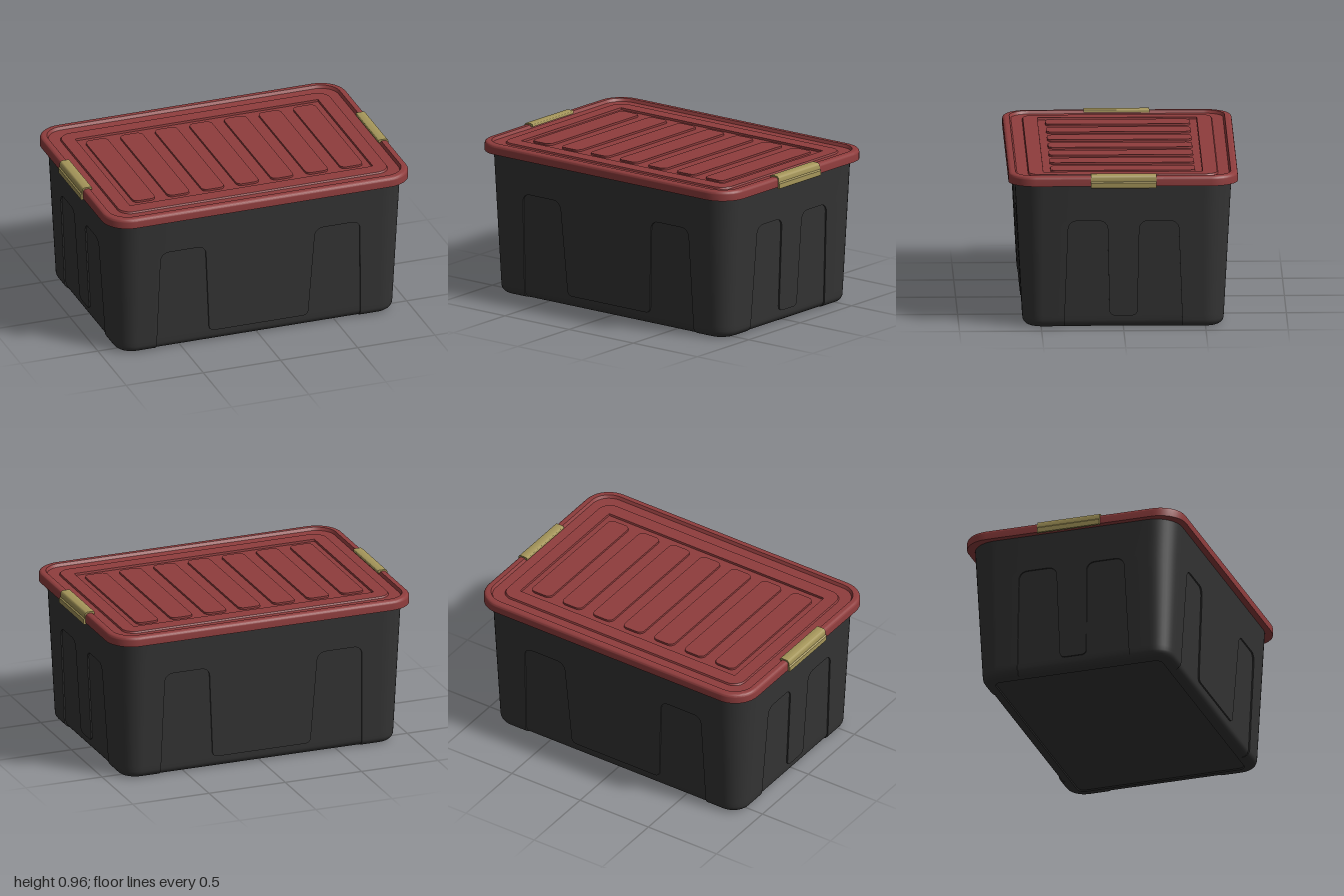
import * as THREE from 'three';
import { toCreasedNormals } from 'three/addons/utils/BufferGeometryUtils.js';

// Skin a list of closed rings (same point count), closing both ends to their centres.
function loft(rings) {
  const mid = (ring) => ring.map(() => [0, ring[0][1], 0]);
  const rows = [mid(rings[0]), ...rings, mid(rings[rings.length - 1])];
  const pos = [];
  const same = (p, q) => Math.hypot(p[0] - q[0], p[1] - q[1], p[2] - q[2]) < 1e-6;
  const tri = (a, b, c) => {
    if (!same(a, b) && !same(b, c) && !same(a, c)) pos.push(...a, ...b, ...c);
  };
  for (let j = 0; j < rows.length - 1; j++) {
    const low = rows[j], up = rows[j + 1], n = low.length;
    for (let i = 0; i < n; i++) {
      const k = (i + 1) % n;
      tri(low[i], up[i], low[k]);
      tri(low[k], up[i], up[k]);
    }
  }
  const geo = new THREE.BufferGeometry();
  geo.setAttribute('position', new THREE.Float32BufferAttribute(pos, 3));
  return toCreasedNormals(geo, 0.5);
}

// Rounded rectangle ring; wall(k) gives [position along wall, depth] pairs for each side.
function ring(hx, hz, r, y, wall = () => []) {
  const cx = hx - r, cz = hz - r, pts = [], segs = 10;
  const corners = [[cx, cz], [-cx, cz], [-cx, -cz], [cx, -cz]];
  corners.forEach(([x, z], k) => {
    for (let i = 0; i <= segs; i++) {
      const t = (k + i / segs) * Math.PI / 2;
      pts.push([x + r * Math.cos(t), y, z + r * Math.sin(t)]);
    }
    const t = (k + 1) * Math.PI / 2, nx = Math.cos(t), nz = Math.sin(t);
    const half = k % 2 ? hx : hz;
    for (const [s, depth] of wall(k)) {
      pts.push([nx * (half - depth) - nz * s, y, nz * (half - depth) + nx * s]);
    }
  });
  return pts;
}

// Tapered tub with U-shaped recesses pressed into all four walls
function tubGeometry() {
  const topY = 0.67, topR = 0.05, lowY = 0.075, lowR = 0.03, depth = 0.009;
  const section = (y, inset, pillar, centre) => {
    const grow = 0.055 * y - inset;
    const wall = (k) => {
      const f = y / topY;
      let a = k % 2 ? 0.36 - 0.025 * f : 0.66 - 0.015 * f;
      let b = k % 2 ? 0.083 + 0.014 * f : 0.315 + 0.04 * f;
      const over = Math.min(y - (topY - topR), topR);
      if (over > 0) {
        const shrink = topR - Math.sqrt(Math.max(0, topR * topR - over * over));
        a -= shrink;
        b += shrink;
      }
      const under = lowY + lowR - y;
      if (under > 0 && under <= lowR + 1e-6) b -= lowR - Math.sqrt(Math.max(0, lowR * lowR - under * under));
      return [[-a, 0], [-a, pillar], [-b, pillar], [-b, centre], [b, centre], [b, pillar], [a, pillar], [a, 0]];
    };
    return ring(0.9 + grow, 0.61 + grow, 0.12 + grow, y, wall);
  };
  const rows = [section(0.008, 0.085, 0, 0), section(0.008, 0.08, 0, 0), section(0, 0.075, 0, 0)];
  const edge = 0.045;
  for (let i = 0; i <= 6; i++) {
    const t = i / 6 * Math.PI / 2;
    rows.push(section(edge * (1 - Math.cos(t)), edge * (1 - Math.sin(t)), depth, depth));
  }
  rows.push(section(lowY, 0, depth, depth));
  for (let i = 0; i <= 5; i++) {
    const t = i / 5 * Math.PI / 2;
    rows.push(section(lowY + lowR * (1 - Math.cos(t)), 0, depth, 0));
  }
  for (let i = 0; i <= 6; i++) {
    rows.push(section(topY - topR + topR * Math.sin(i / 6 * Math.PI / 2), 0, depth, 0));
  }
  rows.push(section(topY, 0, 0, 0), section(0.92, 0, 0, 0));
  return loft(rows);
}

// Lid with rounded rim, sloping channel, raised border and sunken panel
function lidGeometry() {
  const rows = [ring(0.93, 0.64, 0.14, 0.895), ring(0.987, 0.698, 0.165, 0.895)];
  const r = 0.02;
  for (let i = 0; i <= 5; i++) {
    const t = i / 5 * Math.PI / 2, d = r * (1 - Math.cos(t));
    rows.push(ring(0.987 - d, 0.698 - d, 0.165 - d, 0.935 + r * Math.sin(t)));
  }
  rows.push(
    ring(0.945, 0.655, 0.125, 0.955),
    ring(0.935, 0.645, 0.115, 0.937),
    ring(0.873, 0.578, 0.08, 0.935),
    ring(0.868, 0.573, 0.08, 0.945),
    ring(0.787, 0.485, 0.004, 0.945),
    ring(0.785, 0.483, 0.003, 0.932),
  );
  return loft(rows);
}

export function createModel() {
  const model = new THREE.Group();
  const material = (name, color) => {
    const m = new THREE.MeshStandardMaterial({ color });
    m.name = name;
    return m;
  };
  const charcoal = material('charcoal plastic', 0x343434);
  const red = material('dull red plastic', 0x8f3d3d);
  const olive = material('olive plastic', 0xa5965a);
  const add = (name, geo, mat) => {
    const mesh = new THREE.Mesh(geo, mat);
    mesh.name = name;
    model.add(mesh);
    return mesh;
  };

  add('tub', tubGeometry(), charcoal);
  add('lid', lidGeometry(), red);

  // Raised ribs across the lid panel
  const rib = loft([
    ring(0.073, 0.44, 0.035, 0.925),
    ring(0.072, 0.439, 0.035, 0.944),
  ]);
  for (let i = -3; i <= 3; i++) add('lidRib', rib, red).position.x = i * 0.224;

  // Snap clips hooked over the short ends of the lid
  const profile = new THREE.Shape();
  profile.moveTo(0.928, 0.945);
  profile.lineTo(0.928, 0.958);
  profile.quadraticCurveTo(0.93, 0.964, 0.938, 0.964);
  profile.lineTo(0.972, 0.964);
  profile.quadraticCurveTo(0.991, 0.962, 0.992, 0.942);
  profile.lineTo(0.992, 0.925);
  profile.lineTo(1.0, 0.918);
  profile.lineTo(1.0, 0.888);
  profile.lineTo(0.993, 0.884);
  profile.lineTo(0.984, 0.888);
  profile.lineTo(0.98, 0.945);
  profile.closePath();
  const clip = new THREE.ExtrudeGeometry(profile, { depth: 0.4, bevelEnabled: false, curveSegments: 6 });
  clip.translate(0, 0, -0.2);
  const clipGeo = toCreasedNormals(clip, 0.5);
  add('leftClip', clipGeo, olive);
  add('rightClip', clipGeo, olive).rotation.y = Math.PI;

  return model;
}
